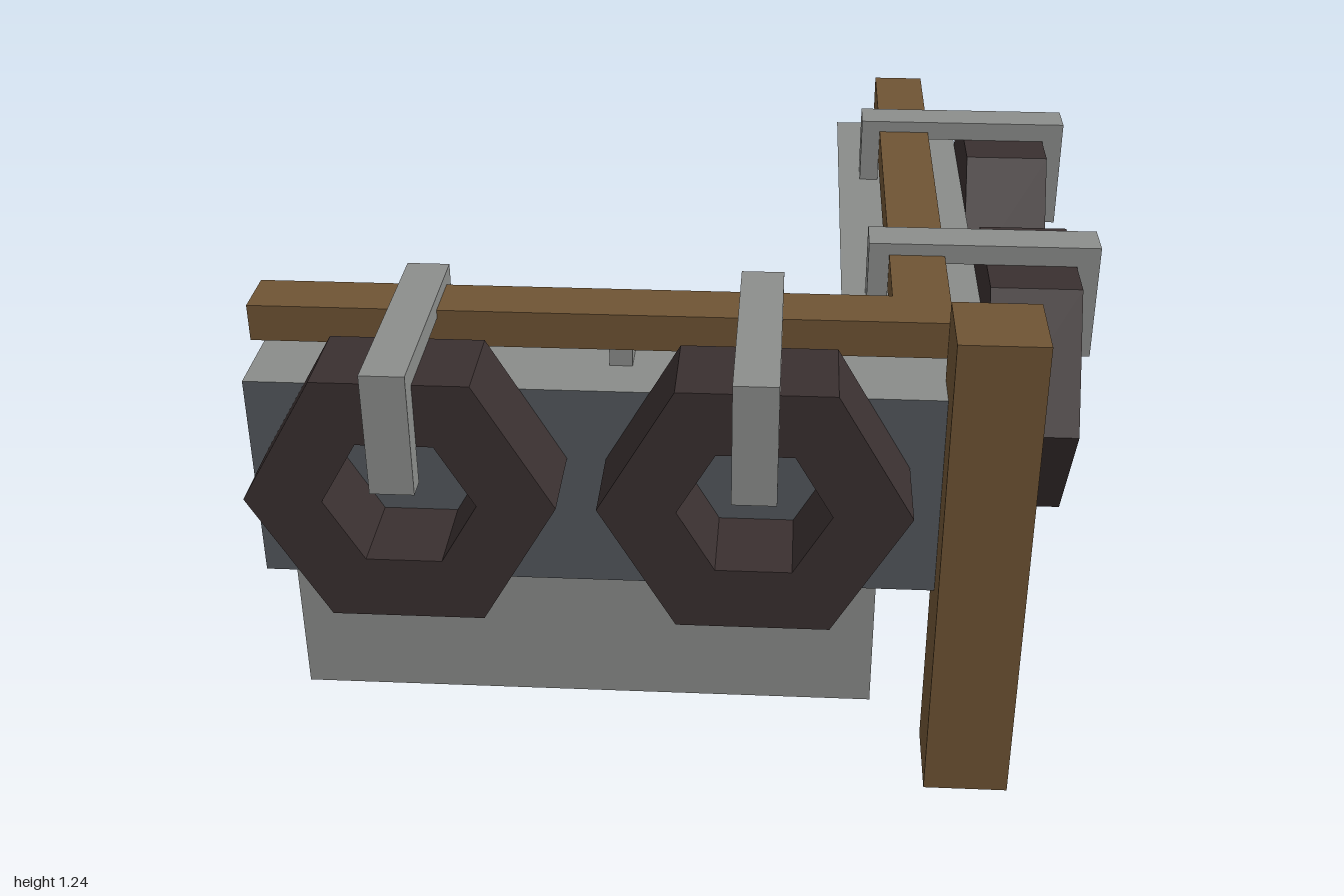
import * as THREE from 'three';

export function createModel() {
  const model = new THREE.Group();
  const mat = (name, color, side = THREE.FrontSide) => {
    const m = new THREE.MeshStandardMaterial({ color, side, flatShading: true });
    m.name = name;
    return m;
  };
  const concrete = mat('concrete grey', 0x8a8c8a, THREE.DoubleSide);
  const slate = mat('slate wall', 0x53585d, THREE.DoubleSide);
  const wood = mat('brown wood', 0x6f5434, THREE.DoubleSide);
  const rubber = mat('dark rubber', 0x3a3030);
  const metal = mat('bracket grey', 0x8c8e8c);

  const add = (name, geo, material, parent = model) => {
    const m = new THREE.Mesh(geo, material);
    m.name = name;
    parent.add(m);
    return m;
  };

  // Sweep an (offset, height) profile along the mitred L-shaped path
  const sweep = (profile) => {
    const pos = [];
    const rings = profile.map(([d, y]) => [[-1, y, d], [d, y, d], [d, y, -1]]);
    for (let i = 0; i < rings.length - 1; i++) {
      for (let k = 0; k < 2; k++) {
        const a = rings[i][k], b = rings[i][k + 1];
        const c = rings[i + 1][k + 1], e = rings[i + 1][k];
        pos.push(...a, ...e, ...c, ...a, ...c, ...b);
      }
    }
    const g = new THREE.BufferGeometry();
    g.setAttribute('position', new THREE.Float32BufferAttribute(pos, 3));
    g.computeVertexNormals();
    return g;
  };

  // Dock sheets: deck, outer wall, overhang underside and recessed base
  add('deck', sweep([[0.38, 1.04], [0.725, 1.04]]), concrete);
  add('upperWall', sweep([[0.725, 1.04], [0.725, 0.52]]), slate);
  add('lowerWall', sweep([[0.725, 0.52], [0.49, 0.52], [0.49, 0]]), concrete);

  // Hollow kerb rail, open at both ends
  add('rail', sweep([[0.49, 1.095], [0.49, 1.185], [0.625, 1.185], [0.625, 1.095], [0.49, 1.095]]), wood);

  // Corner mooring post
  add('cornerPost', new THREE.BoxGeometry(0.205, 1.237, 0.21).translate(0.718, 0.6185, 0.724), wood);

  // Hexagonal fender ring
  const hexagon = (r, target) => {
    const pts = [];
    for (let i = 0; i < 6; i++) {
      const a = i * Math.PI / 3;
      pts.push(new THREE.Vector2(r * Math.cos(a), r * Math.sin(a)));
    }
    return target.setFromPoints(pts);
  };
  const ring = hexagon(0.352, new THREE.Shape());
  ring.holes.push(hexagon(0.174, new THREE.Path()));
  const fenderGeo = new THREE.ExtrudeGeometry(ring, { depth: 0.218, bevelEnabled: false });

  // Each arm: t runs along the arm, d is the offset away from the inside
  const buildArm = (name, frontArm, fenders, supports) => {
    const arm = new THREE.Group();
    arm.name = name;
    model.add(arm);
    const box = (part, t, width, d0, d1, y0, y1, parent) => {
      const w = d1 - d0, h = y1 - y0, d = (d0 + d1) / 2, y = (y0 + y1) / 2;
      const geo = frontArm
        ? new THREE.BoxGeometry(width, h, w).translate(t, y, d)
        : new THREE.BoxGeometry(w, h, width).translate(d, y, t);
      add(part, geo, metal, parent);
    };
    for (const t of fenders) {
      const fender = add('fender', fenderGeo, rubber, arm);
      fender.position.set(frontArm ? t : 0.727, 0.86, frontArm ? 0.727 : t);
      if (!frontArm) fender.rotation.y = Math.PI / 2;
      // Hook over the rail, reaching down in front of the fender
      const hook = new THREE.Group();
      hook.name = 'fenderHook';
      arm.add(hook);
      box('hookBar', t, 0.1, 0.44, 1, 1.165, 1.215, hook);
      box('hookInnerLeg', t, 0.1, 0.44, 0.49, 1.04, 1.165, hook);
      box('hookOuterLeg', t, 0.1, 0.946, 1, 0.92, 1.165, hook);
    }
    // Small blocks carrying the rail
    for (const t of supports) box('railSupport', t, 0.054, 0.515, 0.6, 1.04, 1.096, arm);
  };
  buildArm('frontArm', true, [-0.607, 0.187], [-0.137]);
  buildArm('leftArm', false, [-0.605, 0.215], [-0.133, -0.86]);

  return model;
}
